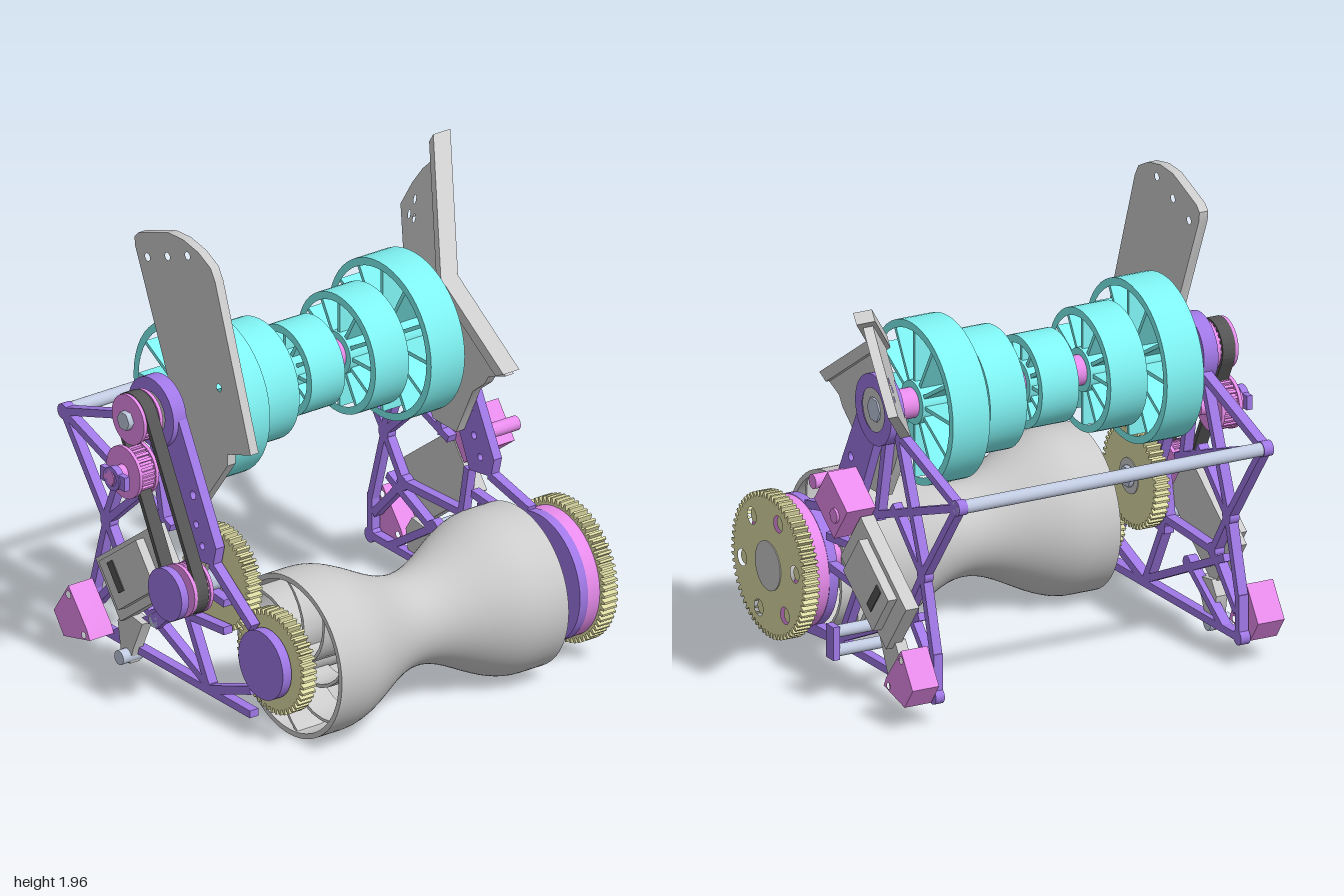
import * as THREE from 'three';
import { toCreasedNormals } from 'three/addons/utils/BufferGeometryUtils.js';

const mat = (color) => new THREE.MeshStandardMaterial({ color });
const GREY = mat(0xcccccc), PURPLE = mat(0xa078e6), PINK = mat(0xe88cec), TEAL = mat(0x7ff2f2),
  KHAKI = mat(0xdedca4), DARK = mat(0x555555), STEEL = mat(0xc0cae0);

export function createModel() {
  const root = new THREE.Group();
  const group = (name, parent = root) => {
    const g = new THREE.Group();
    g.name = name;
    parent.add(g);
    return g;
  };
  const add = (parent, name, geo, m) => {
    const mesh = new THREE.Mesh(geo, m);
    mesh.name = name;
    parent.add(mesh);
    return mesh;
  };

  // Flat sheet: outline of [z, y] points, spanning x0..x1; holes are [z, y, radius]
  const sheetGeo = (pts, x0, x1, holes = []) => {
    const shape = new THREE.Shape(pts.map(([z, y]) => new THREE.Vector2(-z, y)));
    for (const [z, y, r] of holes) shape.holes.push(new THREE.Path().absarc(-z, y, r, 0, Math.PI * 2, true));
    const geo = new THREE.ExtrudeGeometry(shape, { depth: x1 - x0, bevelEnabled: false, curveSegments: 20 });
    return toCreasedNormals(geo.rotateY(Math.PI / 2).translate(x0, 0, 0), 0.6);
  };
  const sheet = (p, name, pts, x0, x1, m, holes) => add(p, name, sheetGeo(pts, x0, x1, holes), m);
  const circle = (z, y, r, n = 48) => Array.from({ length: n }, (_, i) => {
    const a = i / n * Math.PI * 2;
    return [z + r * Math.cos(a), y + r * Math.sin(a)];
  });
  const ring = (p, name, z, y, r, inner, x0, x1, m) => sheet(p, name, circle(z, y, r), x0, x1, m, [[z, y, inner]]);
  const rod = (p, name, z, y, r, x0, x1, m, n = 32) =>
    add(p, name, new THREE.CylinderGeometry(r, r, x1 - x0, n).rotateZ(-Math.PI / 2).translate((x0 + x1) / 2, y, z), m);
  // Straight bar between two [z, y] points
  const bar = (p, name, a, b, w, x0, x1, m) => {
    const dz = b[0] - a[0], dy = b[1] - a[1];
    const mesh = add(p, name, new THREE.BoxGeometry(x1 - x0, Math.hypot(dz, dy), w), m);
    mesh.position.set((x0 + x1) / 2, (a[1] + b[1]) / 2, (a[0] + b[0]) / 2);
    mesh.rotation.x = Math.atan2(dz, dy);
    return mesh;
  };

  const TOP = [-0.19, 1.2], LOW = [0.49, 0.34], MID = [0.135, 0.575];

  // Hourglass roller: hollow shell with curved vanes in both ends
  const roller = group('roller');
  const radius = (u) => Math.abs(u) > 0.45 ? 0.34 : 0.19 + 0.075 * (1 - Math.cos(Math.PI * u / 0.45));
  const us = Array.from({ length: 49 }, (_, i) => -0.565 + 1.13 * i / 48);
  const profile = [...us.map((u) => new THREE.Vector2(radius(u), u)),
    ...us.slice().reverse().map((u) => new THREE.Vector2(radius(u) - 0.022, u))];
  profile.push(profile[0].clone());
  add(roller, 'rollerShell', toCreasedNormals(
    new THREE.LatheGeometry(profile, 72).rotateZ(-Math.PI / 2).translate(-0.075, LOW[1], LOW[0]), 0.6), GREY);
  rod(roller, 'rollerCore', ...LOW, 0.085, -0.62, 0.47, GREY);
  for (const [x0, x1] of [[-0.63, -0.5], [0.35, 0.48]]) {
    for (let i = 0; i < 8; i++) {
      const outer = [], inner = [];
      for (let k = 0; k <= 6; k++) {
        const r = 0.075 + 0.25 * k / 6, a = i * Math.PI / 4 + 0.9 * k / 6, d = 0.009 / r;
        outer.push([LOW[0] + r * Math.cos(a + d), LOW[1] + r * Math.sin(a + d)]);
        inner.unshift([LOW[0] + r * Math.cos(a - d), LOW[1] + r * Math.sin(a - d)]);
      }
      sheet(roller, 'rollerVane', [...outer, ...inner], x0, x1, GREY);
    }
  }
  rod(roller, 'rollerShaft', ...LOW, 0.065, -0.67, 0.62, PINK);

  // Spoked wheels on the upper shaft
  const wheels = group('wheels');
  for (const [x0, r] of [[-0.64, 0.335], [-0.43, 0.253], [-0.155, 0.19], [0.115, 0.253], [0.33, 0.335]]) {
    const wheel = group('wheel', wheels), x1 = x0 + 0.167;
    ring(wheel, 'rim', ...TOP, r, r - 0.032, x0, x1, TEAL);
    ring(wheel, 'wheelHub', ...TOP, 0.09, 0.06, x0, x1, TEAL);
    for (let i = 0; i < 12; i++) {
      const a = i * Math.PI / 6, c = Math.cos(a), s = Math.sin(a);
      bar(wheel, 'spoke', [TOP[0] + 0.08 * c, TOP[1] + 0.08 * s],
        [TOP[0] + (r - 0.02) * c, TOP[1] + (r - 0.02) * s], 0.016, x0 + 0.01, x1 - 0.01, TEAL);
    }
  }
  rod(wheels, 'upperShaft', ...TOP, 0.062, -0.76, 0.61, PINK);

  // Truss side frames
  const struts = [
    [[-0.29, 1.14], [-0.8, 0.975]], [[-0.8, 0.975], [-0.52, 0.6]], [[-0.52, 0.6], [-0.61, 0.28]],
    [[-0.32, 1.12], [-0.53, 0.6]], [[-0.1, 0.72], [-0.8, 0.975]], [[-0.22, 1.07], [-0.15, 0.72]],
    [[-0.52, 0.6], [-0.4, 0.42]], [[-0.4, 0.42], [-0.02, 0.43]], [[-0.52, 0.6], [-0.28, 0.82]],
    [[-0.61, 0.12], [0.42, 0.1]], [[-0.02, 0.43], [0.15, 0.11]], [[-0.2, 0.3], [-0.48, 0.12]],
    [[0.15, 0.12], [-0.5, 0.42]], [[0.02, 0.64], [-0.02, 0.43]], [[0.25, 0.4], [-0.02, 0.38]],
    [[-0.4, 0.42], [-0.59, 0.22]], [[0.25, 0.52], [0.05, 0.54]], [[-0.61, 0.3], [-0.61, 0.12]],
  ];
  const frame = (name, x0, x1, bossX0, bossX1, r) => {
    const f = group(name);
    struts.forEach(([a, b]) => bar(f, 'strut', a, b, 0.032, x0, x1, PURPLE));
    bar(f, 'strut', [0.16, 0.66], [LOW[0] - 0.07, LOW[1] + r - 0.01], 0.035, x0, x1, PURPLE);
    bar(f, 'strut', [0.15, 0.11], [LOW[0] - 0.07, LOW[1] - r + 0.01], 0.035, x0, x1, PURPLE);
    for (const n of [[-0.8, 0.975], [-0.52, 0.6], [-0.61, 0.12], [-0.4, 0.42], [-0.2, 0.3]])
      rod(f, 'node', ...n, 0.032, x0, x1, PURPLE);
    sheet(f, 'arm', [[-0.06, 1.24], [0.2, 0.74], [0.18, 0.66], [0.04, 0.64], [-0.15, 1.06]], x0, x1, PURPLE,
      [[0.05, 0.92, 0.018], [0.07, 0.8, 0.015], [0.11, 0.72, 0.015]]);
    ring(f, 'topBoss', ...TOP, 0.147, 0.09, bossX0, bossX1, PURPLE);
    ring(f, 'topBearing', ...TOP, 0.095, 0.05, bossX0 + 0.005, bossX1 - 0.005, GREY);
    rod(f, 'hexShaft', ...TOP, 0.052, bossX0, bossX1, STEEL, 6);
    ring(f, 'lowerRing', ...LOW, r, 0.06, x0, x1, PURPLE);
  };
  frame('leftFrame', 0.6, 0.64, 0.61, 0.672, 0.27);
  frame('rightFrame', -0.785, -0.742, -0.81, -0.745, 0.145);
  rod(root, 'crossRod', -0.8, 0.975, 0.028, -0.785, 0.64, STEEL);

  // Toothed gears
  const gear = (name, [z, y], r, x0, x1, teeth, holes) => {
    const g = group(name), pts = [];
    for (let i = 0; i < teeth; i++)
      for (const [t, rr] of [[0, r - 0.022], [0.3, r - 0.022], [0.45, r], [0.8, r]]) {
        const a = (i + t) / teeth * Math.PI * 2;
        pts.push([z + rr * Math.cos(a), y + rr * Math.sin(a)]);
      }
    sheet(g, 'gearBody', pts, x0, x1, KHAKI, [...holes, [z, y, 0.06]]);
    ring(g, 'gearHub', z, y, r * 0.34, 0.045, x0 - 0.005, x1 + 0.004, GREY);
    for (const [hz, hy] of holes) ring(g, 'gearBush', hz, hy, 0.03, 0.013, x0 + 0.005, x1 - 0.012, KHAKI);
  };
  const boltHoles = Array.from({ length: 6 }, (_, i) => {
    const a = i * Math.PI / 3 - 0.15;
    return [LOW[0] + 0.215 * Math.cos(a), LOW[1] + 0.215 * Math.sin(a), 0.035];
  });
  gear('driveGear', LOW, 0.3, 0.7, 0.767, 64, boltHoles);
  ring(root, 'driveGearHub', ...LOW, 0.268, 0.06, 0.64, 0.7, PINK);
  gear('rollerGear', LOW, 0.218, -0.735, -0.67, 46, []);
  gear('idlerGear', MID, 0.218, -0.735, -0.67, 46, []);
  rod(root, 'idlerShaft', ...MID, 0.045, -0.98, -0.65, STEEL, 6);

  // Flat guide plate
  sheet(root, 'flatGuide', [[0.34, 1.18], [0.11, 1.85], [0.08, 1.9], [0, 1.94], [-0.1, 1.96], [-0.2, 1.955],
    [-0.39, 1.885], [-0.415, 1.86], [-0.41, 1.82], [-0.2, 1.33], [-0.17, 0.95], [-0.08, 0.85], [0.02, 0.85],
    [0.19, 1.08], [0.19, 1.13]], -0.72, -0.68, GREY,
  [[-0.07, 1.9, 0.016], [-0.2, 1.85, 0.016], [-0.33, 1.8, 0.016], [0.135, 1.4, 0.016], [0.16, 1.34, 0.016]]);

  // Bent guide plate: [s, t] run along and across its edge; it folds outward past s = FOLD
  const bent = group('bentGuide'), FOLD = 0.49;
  const st = ([s, t, r]) => [0.34 - 0.83 * s - 0.55 * t, 1.18 + 0.55 * s - 0.83 * t, r];
  const bentPart = (name, pts, x0, x1, holes = []) => {
    const geo = sheetGeo(pts.map(st), x0, x1, holes.map(st)), p = geo.attributes.position;
    for (let i = 0; i < p.count; i++) {
      const s = (0.34 - p.getZ(i)) * 0.83 + (p.getY(i) - 1.18) * 0.55;
      p.setX(i, p.getX(i) + 0.585 * Math.max(0, s - FOLD));
    }
    add(bent, name, toCreasedNormals(geo, 0.6), GREY);
  };
  bentPart('guideEdge', [[0, 0], [FOLD, 0], [FOLD, 0.05], [0.03, 0.05]], 0.54, 0.62);
  bentPart('guideEdge', [[FOLD, 0], [1.11, 0], [1.11, 0.05], [FOLD, 0.05]], 0.54, 0.625);
  bentPart('guidePlate', [[0, 0.02], [FOLD, 0.02], [FOLD, 0.42], [0.36, 0.5], [0.2, 0.58], [0.07, 0.5],
    [0.1, 0.26], [0.07, 0.17], [0.07, 0.12]], 0.56, 0.6, [[0.2, 0.44, 0.015], [0.28, 0.44, 0.015]]);
  bentPart('guidePlate', [[FOLD, 0.02], [1, 0.02], [1.04, 0.08], [1.07, 0.18], [1.085, 0.3], [1.08, 0.44],
    [FOLD, 0.43]], 0.56, 0.605, [[0.98, 0.35, 0.016], [1.0, 0.28, 0.016], [0.93, 0.3, 0.016]]);

  // Belt drive
  const belt = group('beltDrive');
  const pulley = (z, y, r, teeth) => {
    rod(belt, 'pulley', z, y, r - 0.015, -0.915, -0.83, PINK);
    for (const x of [-0.925, -0.845]) rod(belt, 'pulleyFlange', z, y, r, x, x + 0.015, PINK);
    for (let i = 0; i < teeth; i++) {
      const a = i / teeth * Math.PI * 2, c = Math.cos(a), s = Math.sin(a);
      bar(belt, 'pulleyTooth', [z + (r - 0.03) * c, y + (r - 0.03) * s],
        [z + (r - 0.005) * c, y + (r - 0.005) * s], 0.012, -0.91, -0.835, PINK);
    }
  };
  pulley(...TOP, 0.105, 24);
  pulley(-0.22, 0.96, 0.11, 26);
  pulley(...MID, 0.11, 24);
  const beltLoop = (r) => {
    const pts = [], dir = Math.atan2(TOP[1] - MID[1], TOP[0] - MID[0]);
    for (const [c, a0] of [[TOP, dir - Math.PI / 2], [MID, dir + Math.PI / 2]])
      for (let k = 0; k <= 16; k++) {
        const a = a0 + Math.PI * k / 16;
        pts.push([c[0] + r * Math.cos(a), c[1] + r * Math.sin(a)]);
      }
    return pts;
  };
  const outer = beltLoop(0.108), inner = beltLoop(0.088);
  outer.forEach((p, i) => {
    const j = (i + 1) % outer.length;
    sheet(belt, 'beltSegment', [p, outer[j], inner[j], inner[i]], -0.91, -0.852, DARK);
  });
  rod(belt, 'topPulleyShaft', ...TOP, 0.04, -0.95, -0.76, STEEL, 6);
  rod(belt, 'tensionerShaft', -0.22, 0.96, 0.035, -1, -0.78, PINK);
  ring(belt, 'tensionerCap', -0.2, 0.96, 0.05, 0.03, -1, -0.97, PURPLE);
  bar(belt, 'tensionerLink', [-0.28, 0.96], [-0.12, 0.96], 0.06, -0.995, -0.97, PURPLE);
  ring(belt, 'pulleyCap', ...MID, 0.11, 0.045, -0.99, -0.955, PURPLE);
  bar(belt, 'capLink', [0.135, 0.5], [0.05, 0.42], 0.06, -0.985, -0.955, PURPLE);
  rod(belt, 'capRod', 0.05, 0.43, 0.028, -0.985, -0.745, STEEL);

  // Servo units, their pink mounts and standoffs on the outside of each frame
  for (const side of [1, -1]) {
    const u = group(side > 0 ? 'leftServo' : 'rightServo');
    const base = side > 0 ? 0.64 : -0.785;
    const span = (a, b) => side > 0 ? [base + a, base + b] : [base - b, base - a];
    const block = (name, z, y, l, w, a, b, m) => {
      const d = [Math.sin(0.93) * l / 2, Math.cos(0.93) * l / 2];
      return bar(u, name, [z + d[0], y + d[1]], [z - d[0], y - d[1]], w, ...span(a, b), m);
    };
    block('servoBody', -0.24, 0.49, 0.46, 0.27, 0, 0.06, GREY);
    block('servoCase', -0.25, 0.49, 0.3, 0.21, 0.04, 0.1, GREY);
    block('servoSlot', -0.32, 0.46, 0.04, 0.13, 0.095, 0.105, DARK);
    if (side > 0) {
      block('frontMount', -0.02, 0.76, 0.2, 0.18, 0, 0.13, PINK);
      for (const [z, y] of [[0.11, 0.82], [-0.06, 0.73]]) ring(u, 'mountLug', z, y, 0.03, 0.014, ...span(0, 0.14), PINK);
    }
    sheet(u, 'rearMount', [[-0.59, 0.33], [-0.685, 0.19], [-0.62, 0.1], [-0.45, 0.14], [-0.47, 0.18]],
      ...span(0.01, 0.13), PINK, [[-0.59, 0.29, 0.015], [-0.49, 0.15, 0.013]]);
    sheet(u, 'lowerLug', [[-0.24, 0.26], [-0.3, 0.13], [-0.32, 0.06], [-0.35, 0.06], [-0.38, 0.1], [-0.4, 0.22], [-0.36, 0.28]],
      ...span(-0.02, 0.03), GREY, [[-0.34, 0.09, 0.015]]);
    if (side > 0) {
      for (const y of [0.22, 0.3]) rod(u, 'standoff', -0.2, y, 0.025, ...span(-0.03, 0.23), STEEL);
      bar(u, 'standoffLink', [-0.2, 0.19], [-0.2, 0.33], 0.06, ...span(0.205, 0.235), PURPLE);
    } else {
      rod(u, 'lowerPin', -0.34, 0.09, 0.03, ...span(-0.03, 0.07), STEEL);
    }
  }
  return root;
}
